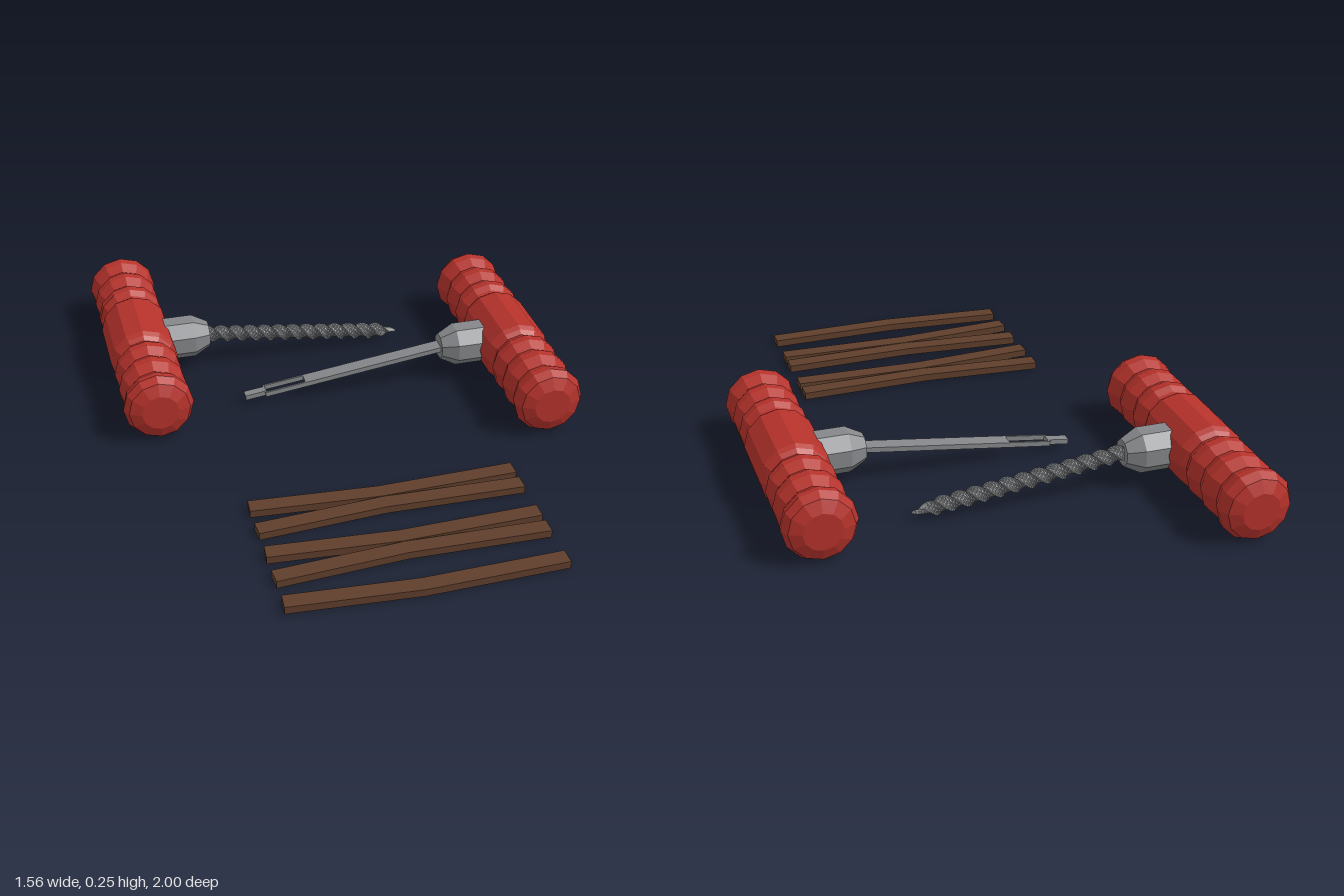
import * as THREE from 'three';

const mat = (name, color) => {
  const m = new THREE.MeshStandardMaterial({ color, flatShading: true });
  m.name = name;
  return m;
};

function mesh(name, geometry, material) {
  const m = new THREE.Mesh(geometry, material);
  m.name = name;
  return m;
}

// Turned grip: half profile [radius, distance from the middle], mirrored, axis along z
function gripGeometry() {
  const half = [
    [0.121, 0.125], [0.112, 0.143], [0.099, 0.158], [0.104, 0.172],
    [0.118, 0.195], [0.118, 0.225], [0.099, 0.262], [0.118, 0.3],
    [0.118, 0.332], [0.099, 0.373], [0.119, 0.412], [0.123, 0.44],
    [0.107, 0.47], [0.065, 0.488], [0, 0.488],
  ];
  const points = [
    ...half.map(([r, d]) => new THREE.Vector2(r, -d)).reverse(),
    ...half.map(([r, d]) => new THREE.Vector2(r, d)),
  ];
  return new THREE.LatheGeometry(points, 12).rotateX(Math.PI / 2);
}

// Eight-sided ferrule, axis along x
function collarGeometry() {
  const profile = [[0, 0.08], [0.077, 0.08], [0.077, 0.2], [0.047, 0.257], [0, 0.257]];
  return new THREE.LatheGeometry(profile.map(([r, d]) => new THREE.Vector2(r, d)), 8, Math.PI / 8)
    .rotateZ(-Math.PI / 2);
}

// Three-start twisted rasp with a tapered point, starting at the origin along x
function raspGeometry() {
  const length = 0.74, pitch = 0.165, taper = 0.09;
  const g = new THREE.CylinderGeometry(1, 1, length, 9, 88);
  const p = g.attributes.position;
  for (let i = 0; i < p.count; i++) {
    const y = p.getY(i) + length / 2;
    const rim = Math.hypot(p.getX(i), p.getZ(i));
    const angle = Math.atan2(p.getX(i), p.getZ(i));
    const r = rim * (0.025 + 0.006 * Math.cos(3 * angle)) * Math.min(1, 0.12 + (length - y) / taper);
    const a = angle + (2 * Math.PI * y) / pitch;
    p.setXYZ(i, r * Math.sin(a), y, r * Math.cos(a));
  }
  g.rotateZ(-Math.PI / 2);
  g.computeVertexNormals();
  return g;
}

// Flat needle with an eye near its narrow tip, starting at the origin along x
function needleGeometry() {
  const outline = [[0, -0.027], [0.67, -0.027], [0.67, -0.016], [0.742, -0.016],
    [0.742, 0.016], [0.67, 0.016], [0.67, 0.027], [0, 0.027]];
  const eye = [[0.52, -0.02], [0.52, 0.02], [0.665, 0.02], [0.665, -0.02]];
  const toPoints = (list) => list.map(([x, y]) => new THREE.Vector2(x, y));
  const shape = new THREE.Shape(toPoints(outline));
  shape.holes.push(new THREE.Path(toPoints(eye)));
  return new THREE.ExtrudeGeometry(shape, { depth: 0.018, bevelEnabled: false })
    .translate(0, 0, -0.009).rotateX(-Math.PI / 2);
}

// Bent strip lying flat; z values of its centre line at left end, bend and right end
function stripGeometry(zs) {
  const xs = [-0.453, -0.02, 0.452], w = 0.029;
  const edge = (side) => xs.map((x, i) => {
    const skew = i === 0 ? side * w * (zs[1] - zs[0]) / 0.433 : 0;
    return new THREE.Vector2(x - skew, -(zs[i] + side * w));
  });
  const shape = new THREE.Shape([...edge(1), ...edge(-1).reverse()]);
  return new THREE.ExtrudeGeometry(shape, { depth: 0.026, bevelEnabled: false })
    .rotateX(-Math.PI / 2);
}

export function createModel() {
  const model = new THREE.Group();
  model.name = 'tyrePlugKit';
  const red = mat('red grip', 0xb5322b);
  const steel = mat('steel', 0x85878a);
  const brown = mat('brown rubber', 0x5f3e2b);

  // T-handled tools, each with a shaft drooping towards its tip
  const grip = gripGeometry(), collar = collarGeometry();
  const addTool = (name, shaftName, shaftGeometry, x, z, turn) => {
    const tool = new THREE.Group();
    tool.name = name;
    const shaft = mesh(shaftName, shaftGeometry, steel);
    shaft.position.x = 0.25;
    shaft.rotation.z = -0.13;
    tool.add(mesh('handle', grip, red), mesh('collar', collar, steel), shaft);
    tool.position.set(x, 0.123, z);
    tool.rotation.y = turn;
    model.add(tool);
  };
  addTool('raspTool', 'twistedRasp', raspGeometry(), -0.657, -0.512, 0);
  addTool('needleTool', 'eyedNeedle', needleGeometry(), 0.657, -0.203, Math.PI);

  // Plug strips, alternately bent
  for (let i = 0; i < 5; i++) {
    const z = 0.445 + i * 0.1225, bend = i % 2 ? -1 : 1;
    model.add(mesh('plugStrip' + (i + 1), stripGeometry([z, z + bend * 0.031, z + bend * 0.019]), brown));
  }
  return model;
}
